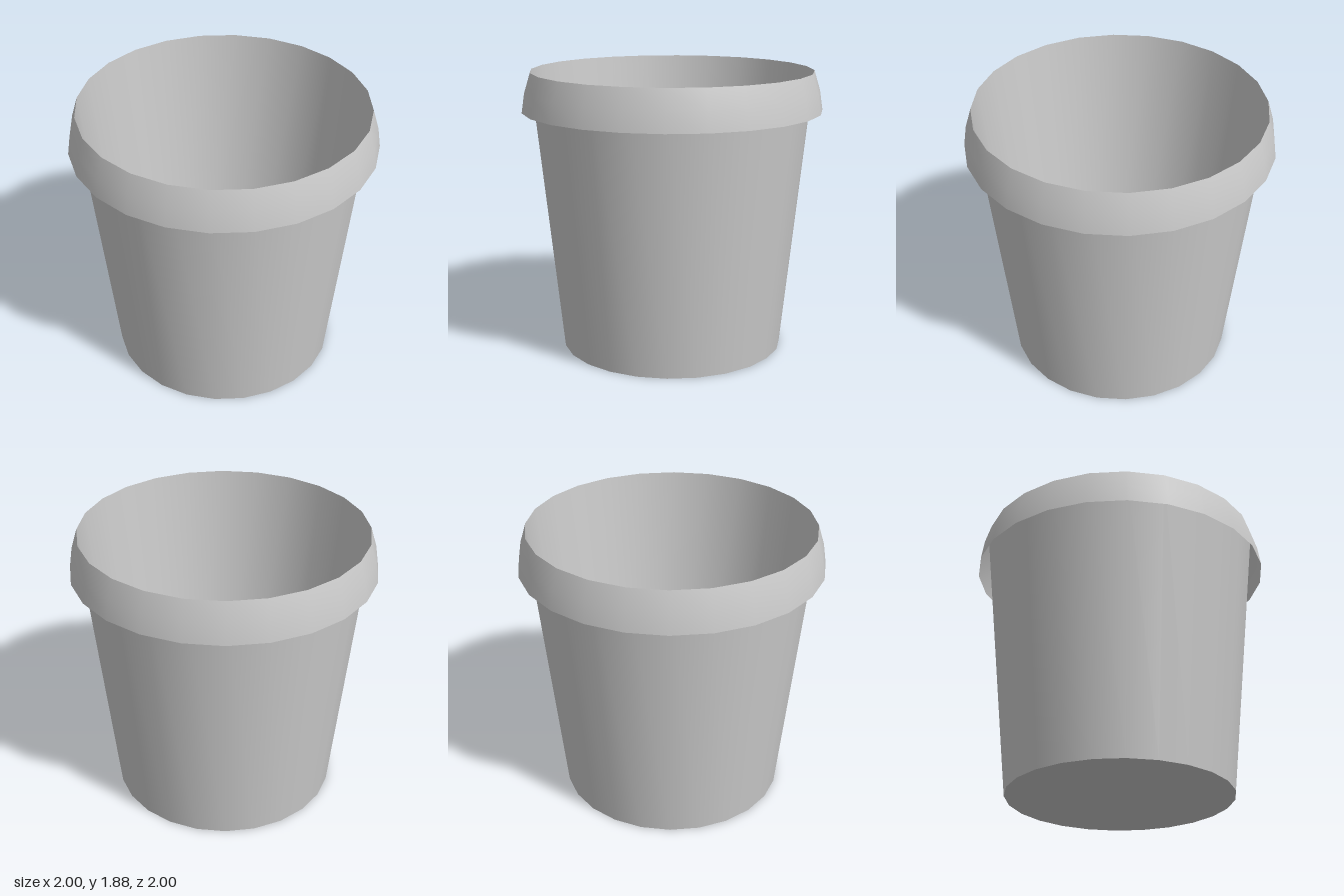
import * as THREE from 'three';

const SIDES = 24;

export function createModel() {
  const pot = new THREE.Group();
  pot.name = 'pot';
  const material = new THREE.MeshStandardMaterial({ color: 0xcccccc, side: THREE.DoubleSide });

  const add = (name, geometry) => {
    const mesh = new THREE.Mesh(geometry, material);
    mesh.name = name;
    pot.add(mesh);
    return mesh;
  };
  const lathe = (points) =>
    new THREE.LatheGeometry(points.map(([r, y]) => new THREE.Vector2(r, y)), SIDES);

  // Thin tapered wall, running straight up to the mouth
  add('wall', lathe([[0.75, 0], [0.94, 1.88]]));

  // Flared collar hanging from the mouth, open underneath
  add('collar', lathe([[1, 1.62], [0.98, 1.75], [0.94, 1.88]]));

  // Flat floor facing down, seen from inside as well
  add('floor', new THREE.CircleGeometry(0.75, SIDES).rotateX(Math.PI / 2));

  return pot;
}
